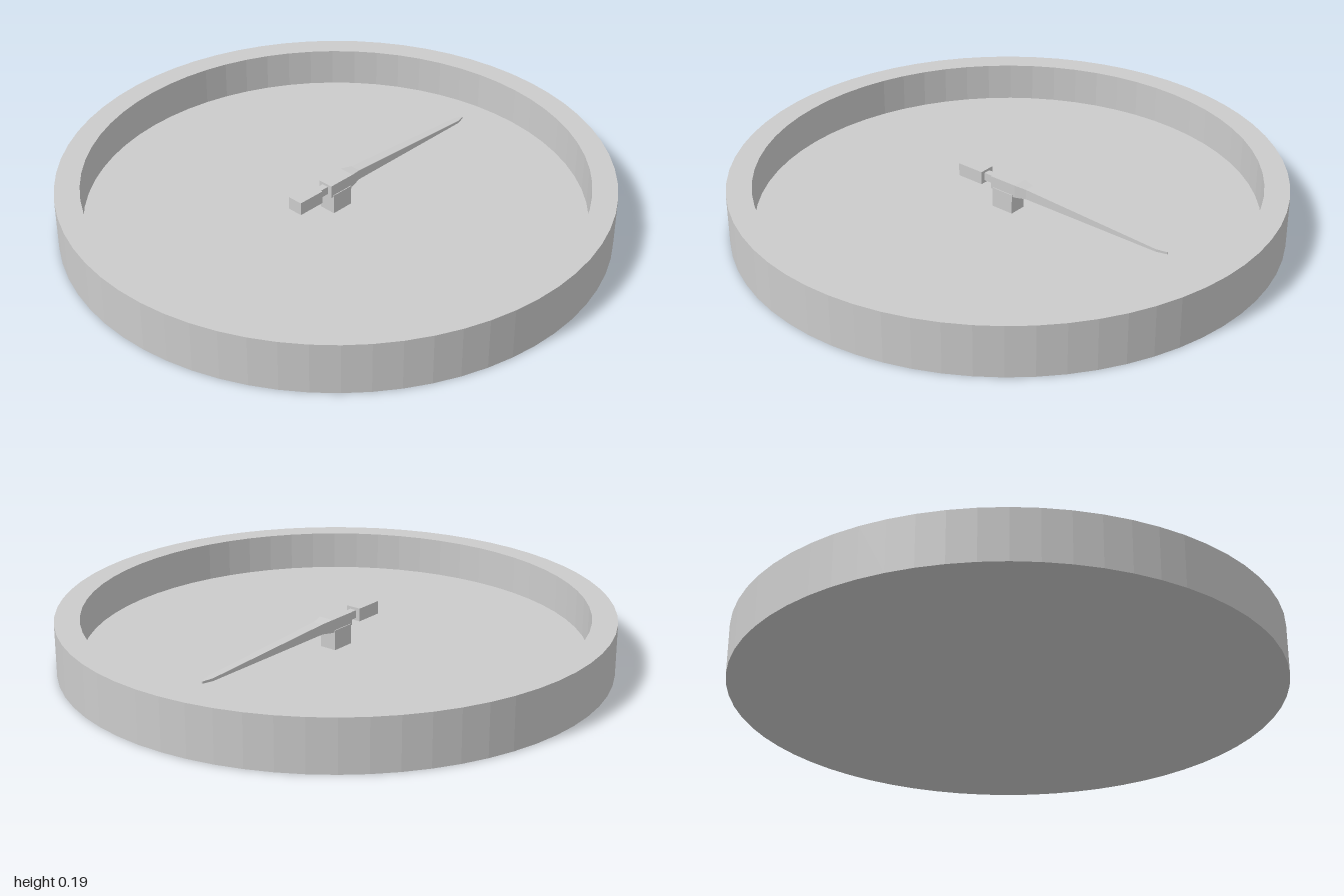
import * as THREE from 'three';

const material = new THREE.MeshStandardMaterial({ color: 0xcccccc, flatShading: true });

function add(group, name, geometry, x = 0, y = 0, z = 0) {
  const mesh = new THREE.Mesh(geometry, material);
  mesh.name = name;
  mesh.position.set(x, y, z);
  group.add(mesh);
}

// Closed loft through rectangular sections [z, halfWidth, yBottom, yTop], front to back
function loftRectangles(sections) {
  const positions = [];
  const index = [];
  for (const [z, w, y0, y1] of sections) {
    positions.push(-w, y0, z, w, y0, z, w, y1, z, -w, y1, z);
  }
  for (let i = 0; i < sections.length - 1; i++) {
    for (let j = 0; j < 4; j++) {
      const a = i * 4 + j, b = i * 4 + (j + 1) % 4;
      index.push(a, a + 4, b, b, a + 4, b + 4);
    }
  }
  const e = (sections.length - 1) * 4;
  index.push(0, 1, 2, 0, 2, 3, e, e + 2, e + 1, e, e + 3, e + 2);
  const indexed = new THREE.BufferGeometry();
  indexed.setAttribute('position', new THREE.Float32BufferAttribute(positions, 3));
  indexed.setIndex(index);
  const geometry = indexed.toNonIndexed();
  geometry.computeVertexNormals();
  return geometry;
}

export function createModel() {
  const model = new THREE.Group();
  model.name = 'dialGauge';

  // Shallow round case: base, outer wall, rim, inner wall and dial floor
  const floorY = 0.045;
  const profile = [[0, 0], [1, 0], [1, 0.19], [0.91, 0.19], [0.91, floorY], [0, floorY]];
  add(model, 'dialCase', new THREE.LatheGeometry(profile.map(([r, y]) => new THREE.Vector2(r, y)), 64));

  // Pointer assembly on a square post
  const pointer = new THREE.Group();
  pointer.name = 'pointer';
  model.add(pointer);
  add(pointer, 'post', new THREE.BoxGeometry(0.066, 0.075, 0.09), 0, 0.0825, 0);

  // Hub tapering into the long needle
  add(pointer, 'needle', loftRectangles([
    [0.055, 0.03, 0.113, 0.162],
    [-0.055, 0.03, 0.113, 0.162],
    [-0.1, 0.02, 0.118, 0.156],
    [-0.66, 0.013, 0.114, 0.124],
    [-0.7, 0.002, 0.114, 0.122],
  ]));

  // Narrow neck and counterweight on the tail
  add(pointer, 'neck', new THREE.BoxGeometry(0.026, 0.03, 0.06), 0, 0.138, 0.08);
  add(pointer, 'counterweight', new THREE.BoxGeometry(0.06, 0.049, 0.108), 0, 0.138, 0.154);

  return model;
}
